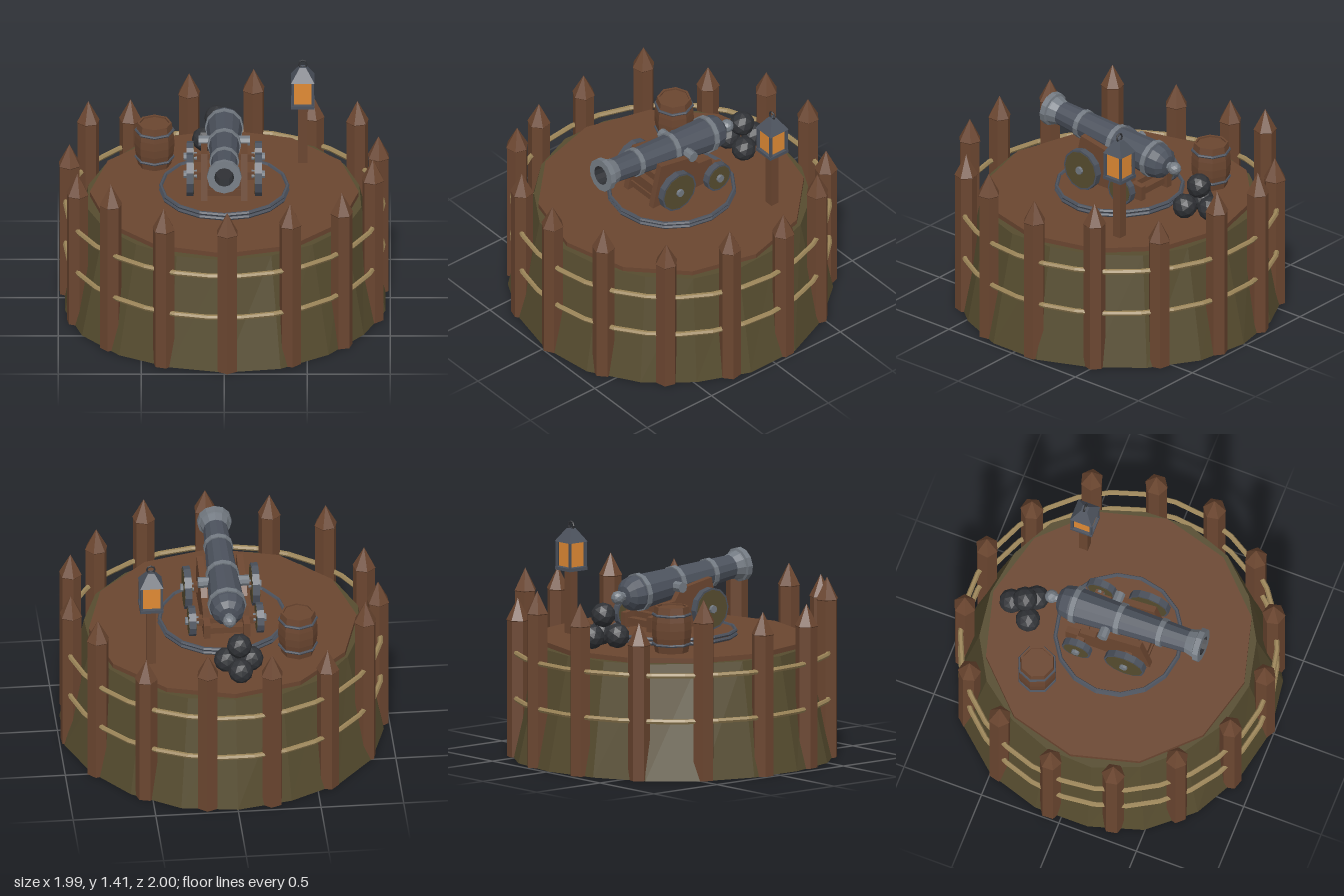
import * as THREE from 'three';

const mat = (name, color) => {
  const m = new THREE.MeshStandardMaterial({ color, flatShading: true });
  m.name = name;
  return m;
};

export function createModel() {
  const wood = mat('wood', 0x6b4630);
  const earth = mat('earth', 0x564c2f);
  const rope = mat('rope', 0x9c8558);
  const iron = mat('iron', 0x4c525d);
  const paleIron = mat('pale iron', 0x737a82);
  const blackIron = mat('black iron', 0x303236);
  const glow = mat('lantern glow', 0xe08a34);

  const model = new THREE.Group();
  const add = (parent, name, geo, material, x = 0, y = 0, z = 0) => {
    const m = new THREE.Mesh(geo, material);
    m.name = name;
    m.position.set(x, y, z);
    parent.add(m);
    return m;
  };
  const group = (name, x = 0, y = 0, z = 0) => {
    const g = new THREE.Group();
    g.name = name;
    g.position.set(x, y, z);
    model.add(g);
    return g;
  };
  const cyl = (rTop, rBottom, h, n) => new THREE.CylinderGeometry(rTop, rBottom, h, n);
  const box = (w, h, d) => new THREE.BoxGeometry(w, h, d);
  const lathe = (pts, n) => new THREE.LatheGeometry(pts.map(p => new THREE.Vector2(p[0], p[1])), n);
  const flatRing = (r, tube, n) => new THREE.TorusGeometry(r, tube, 6, n).rotateX(Math.PI / 2);

  // Earth mound, slightly uneven around its rim
  const moundGeo = cyl(0.835, 0.98, 0.69, 18);
  const p = moundGeo.attributes.position;
  for (let i = 0; i < p.count; i++) {
    const a = Math.atan2(p.getX(i), p.getZ(i));
    const k = 1 + 0.011 * Math.sin(a * 5 + 1 + p.getY(i) * 3);
    p.setX(i, p.getX(i) * k);
    p.setZ(i, p.getZ(i) * k);
  }
  add(model, 'mound', moundGeo, earth, 0, 0.345, 0);
  add(model, 'deck', cyl(0.81, 0.81, 0.06, 12), wood, 0, 0.69, 0);

  // Palisade stakes and the ropes binding them
  const tips = [1.06, 1.075, 1.03, 1.08, 1.035, 1.085, 0.97, 1.075, 1.05, 0.96, 1.1, 1, 1, 1.1, 1.05];
  const palisade = group('palisade');
  tips.forEach((tip, i) => {
    const a = THREE.MathUtils.degToRad(1.1 + 24 * i);
    const geo = lathe([[0, 0], [0.067, 0], [0.067, tip - 0.14], [0.071, tip - 0.135], [0, tip]], 6);
    const s = add(palisade, 'stake', geo, wood, 0.936 * Math.sin(a), 0, 0.936 * Math.cos(a));
    s.rotation.y = 0.3 * Math.sin(i * 2.3);
  });
  for (const y of [0.36, 0.64]) add(palisade, 'bindingRope', flatRing(0.955, 0.016, 30), rope, 0, y, 0);

  // Turntable under the gun
  const turntable = group('turntable');
  add(turntable, 'turntableBoard', cyl(0.38, 0.38, 0.04, 16), wood, 0, 0.74, 0);
  for (const y of [0.735, 0.76]) add(turntable, 'turntableRail', flatRing(0.382, 0.012, 16), iron, 0, y, 0);

  // Gun barrel, built along y and tipped forward with the muzzle raised
  const gun = group('gun', 0, 1.04, -0.05);
  gun.rotation.x = Math.PI / 2 - 0.1;
  add(gun, 'barrel', lathe([[0, -0.345], [0.06, -0.335], [0.095, -0.305], [0.108, -0.25],
    [0.108, -0.2], [0.093, 0.07], [0.082, 0.33], [0.074, 0.52]], 12), iron);
  add(gun, 'muzzleSwell', lathe([[0.074, 0.5], [0.088, 0.55], [0.09, 0.56], [0.104, 0.565],
    [0.104, 0.6], [0.06, 0.6]], 12), paleIron);
  add(gun, 'bore', lathe([[0.06, 0.6], [0.055, 0.5], [0, 0.5]], 12), blackIron);
  for (const [y, r] of [[-0.22, 0.117], [0.065, 0.102], [0.335, 0.09]])
    add(gun, 'barrelBand', cyl(r, r, 0.032, 12), paleIron, 0, y, 0);
  add(gun, 'breechNeck', cyl(0.025, 0.03, 0.05, 8), paleIron, 0, -0.35, 0);
  add(gun, 'breechKnob', new THREE.IcosahedronGeometry(0.042, 1), paleIron, 0, -0.385, 0);
  add(gun, 'trunnions', cyl(0.033, 0.033, 0.31, 8).rotateZ(Math.PI / 2), paleIron);

  // Carriage: two cheeks, cross boards, axles and wheels
  const carriage = group('carriage');
  const side = new THREE.Shape([[0.255, 0.79], [0.19, 1.075], [-0.05, 1.03], [-0.1, 0.96],
    [-0.2, 0.95], [-0.21, 0.89], [-0.29, 0.88], [-0.29, 0.79]].map(q => new THREE.Vector2(-q[0], q[1])));
  const cheekGeo = new THREE.ExtrudeGeometry(side, { depth: 0.04, bevelEnabled: false })
    .translate(0, 0, -0.02).rotateY(Math.PI / 2);
  for (const s of [-1, 1]) add(carriage, 'cheek', cheekGeo, wood, s * 0.12, 0, 0);
  add(carriage, 'bed', box(0.22, 0.04, 0.5), wood, 0, 0.83, -0.02);
  add(carriage, 'frontTransom', box(0.22, 0.1, 0.04), wood, 0, 0.87, 0.2);
  for (const [z, y, r] of [[0.12, 0.9, 0.13], [-0.19, 0.86, 0.092]]) {
    add(carriage, 'axle', box(0.4, 0.05, 0.05), wood, 0, y, z);
    for (const s of [-1, 1]) {
      const wheel = new THREE.Group();
      wheel.name = 'wheel';
      wheel.position.set(s * 0.205, y, z);
      wheel.rotation.z = -s * Math.PI / 2;
      carriage.add(wheel);
      add(wheel, 'wheelDisc', cyl(r - 0.012, r - 0.012, 0.046, 12), earth);
      const tyre = lathe([[r - 0.014, -0.021], [r, -0.021], [r, 0.021], [r - 0.014, 0.021]], 12);
      add(wheel, 'tyre', tyre, iron);
      add(wheel, 'hub', cyl(0.024, 0.03, 0.08, 8), paleIron);
    }
  }

  // Powder keg with iron hoops
  const keg = group('keg', -0.42, 0.72, -0.365);
  add(keg, 'kegStaves', lathe([[0, 0], [0.1, 0], [0.117, 0.09], [0.12, 0.14], [0.117, 0.19],
    [0.103, 0.28], [0.09, 0.28], [0.09, 0.27], [0, 0.27]], 8), wood);
  for (const y of [0.05, 0.23]) add(keg, 'kegHoop', flatRing(0.113, 0.009, 8), iron, 0, y, 0);

  // Stack of shot
  const shot = group('shotStack');
  for (const [x, y, z] of [[-0.045, 0.797, -0.675], [-0.12, 0.797, -0.54], [0.03, 0.797, -0.54], [-0.045, 0.92, -0.587]])
    add(shot, 'shot', new THREE.IcosahedronGeometry(0.076, 1), blackIron, x, y, z);

  // Lantern on a post
  const lantern = group('lantern', 0.473, 0, -0.4);
  add(lantern, 'post', box(0.055, 0.4, 0.055), wood, 0, 0.91, 0);
  add(lantern, 'lanternBase', box(0.14, 0.02, 0.14), iron, 0, 1.117, 0);
  add(lantern, 'lanternPane', box(0.105, 0.148, 0.105), glow, 0, 1.205, 0);
  for (const x of [-1, 1]) for (const z of [-1, 1])
    add(lantern, 'lanternUpright', box(0.014, 0.155, 0.014), iron, x * 0.06, 1.203, z * 0.06);
  add(lantern, 'lanternRoof', cyl(0.028, 0.1, 0.08, 4).rotateY(Math.PI / 4), iron, 0, 1.32, 0);
  add(lantern, 'lanternRing', new THREE.TorusGeometry(0.024, 0.006, 5, 8), blackIron, 0, 1.378, 0);

  return model;
}
